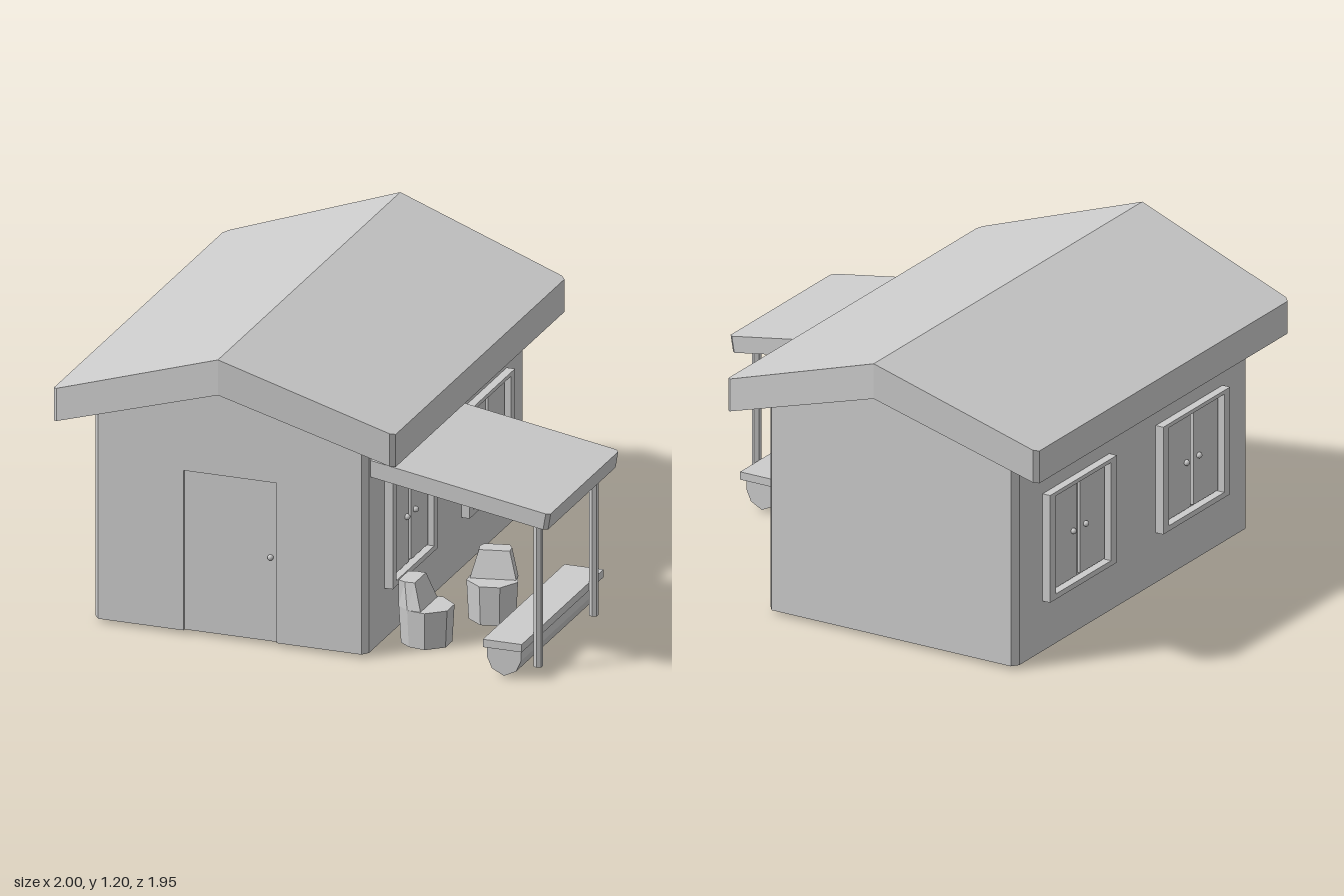
import * as THREE from 'three';

const material = new THREE.MeshStandardMaterial({ color: 0xcccccc, flatShading: true });
const thin = new THREE.MeshStandardMaterial({ color: 0xcccccc, flatShading: true, side: THREE.DoubleSide });
const smooth = new THREE.MeshStandardMaterial({ color: 0xcccccc });

function add(parent, name, geometry, x = 0, y = 0, z = 0, mat = material) {
  const mesh = new THREE.Mesh(geometry, mat);
  mesh.name = name;
  mesh.position.set(x, y, z);
  parent.add(mesh);
  return mesh;
}

// Solid through a row of matching rings, closed at both ends
function loft(rings) {
  const out = [];
  const tri = (...points) => points.forEach((p) => out.push(...p));
  for (let s = 0; s < rings.length - 1; s++) {
    const a = rings[s], b = rings[s + 1];
    a.forEach((p, i) => {
      const j = (i + 1) % a.length;
      tri(p, a[j], b[j]);
      tri(p, b[j], b[i]);
    });
  }
  const first = rings[0], last = rings[rings.length - 1];
  for (let i = 1; i < first.length - 1; i++) {
    tri(first[0], first[i + 1], first[i]);
    tri(last[0], last[i], last[i + 1]);
  }
  const geometry = new THREE.BufferGeometry();
  geometry.setAttribute('position', new THREE.Float32BufferAttribute(out, 3));
  geometry.computeVertexNormals();
  return geometry;
}

// Rectangular ring across the x axis
const slab = (x, low, high, half) => [[x, low, half], [x, low, -half], [x, high, -half], [x, high, half]];

// Mirrored plan (right half listed front to back) at a height
function planRing(half, y, scale = 1) {
  const points = half.map(([x, z]) => [x * scale, y, z * scale]);
  return [...points, ...points.slice().reverse().map(([x, h, z]) => [-x, h, z])];
}

function rectangle(Type, x0, y0, x1, y1) {
  const path = new Type();
  path.moveTo(x0, y0).lineTo(x1, y0).lineTo(x1, y1).lineTo(x0, y1).closePath();
  return path;
}

const MID = -0.3;                                  // ridge line
const underside = (d) => 1.055 - 0.319 * Math.abs(d); // roof underside at distance d from the ridge

function house() {
  const group = new THREE.Group();
  group.name = 'house';
  const W = 0.562, D = 0.847, cx = 0.021, cz = 0.028, base = 0.02;
  const g = W - cx;

  // Gable walls, the front one with a door opening
  for (const side of [1, -1]) {
    const shape = new THREE.Shape();
    shape.moveTo(-g, base);
    if (side > 0) shape.lineTo(-0.19, base).lineTo(-0.19, 0.676).lineTo(0.193, 0.676).lineTo(0.193, base);
    shape.lineTo(g, base).lineTo(g, underside(g)).lineTo(0, underside(0)).lineTo(-g, underside(g)).closePath();
    const wall = add(group, side > 0 ? 'frontWall' : 'backWall', new THREE.ShapeGeometry(shape), MID, 0, side * D, thin);
    if (side < 0) wall.rotation.y = Math.PI;
  }

  // Side walls and chamfered corners
  const height = underside(W) - base, midY = base + height / 2;
  for (const sx of [1, -1]) {
    const wall = add(group, 'sideWall', new THREE.PlaneGeometry(2 * (D - cz), height), MID + sx * W, midY, 0, thin);
    wall.rotation.y = sx * Math.PI / 2;
    for (const sz of [1, -1]) {
      const corner = add(group, 'cornerChamfer', new THREE.PlaneGeometry(Math.hypot(cx, cz), height),
        MID + sx * (W - cx / 2), midY, sz * (D - cz / 2), thin);
      corner.rotation.y = Math.atan2(sx * cz, sz * cx);
    }
  }

  // Recessed door and its knob
  add(group, 'door', new THREE.BoxGeometry(0.383, 0.656, 0.02), MID + 0.0015, 0.348, D - 0.022);
  for (const jamb of [-0.19, 0.193]) {
    add(group, 'doorJamb', new THREE.PlaneGeometry(0.03, 0.656).rotateY(Math.PI / 2), MID + jamb, 0.348, D - 0.015, thin);
  }
  add(group, 'doorLintel', new THREE.PlaneGeometry(0.383, 0.03).rotateX(Math.PI / 2), MID + 0.0015, 0.676, D - 0.015, thin);
  add(group, 'doorKnob', new THREE.SphereGeometry(0.012, 12, 8), -0.135, 0.365, D - 0.006, smooth);

  // Gable roof whose ridge overhangs further than its eaves
  const rings = [[-0.703, 0.9], [-0.685, 0.918], [0, 0.973], [0.685, 0.918], [0.703, 0.9]].map(([d, half]) =>
    slab(MID + d, underside(d), 1.2 - 0.335 * Math.abs(d), half));
  add(group, 'roof', loft(rings));
  return group;
}

// Casement window with two sashes, facing +x or -x
function casement(side, z, knobs) {
  const group = new THREE.Group();
  group.name = 'window';
  const frame = rectangle(THREE.Shape, -0.242, -0.222, 0.242, 0.222);
  frame.holes.push(rectangle(THREE.Path, -0.2, -0.2, 0.2, 0.206));
  const frameGeometry = new THREE.ExtrudeGeometry(frame, { depth: 0.068, bevelEnabled: false });
  add(group, 'windowFrame', frameGeometry, 0, 0, -0.034);
  for (const s of [1, -1]) {
    add(group, 'windowSash', new THREE.BoxGeometry(0.178, 0.39, 0.024), s * 0.1, 0.004, 0);
    if (!knobs) continue;
    for (const face of [1, -1]) {
      add(group, 'windowKnob', new THREE.SphereGeometry(0.012, 12, 8), s * 0.045, 0.004, face * 0.018, smooth);
    }
  }
  group.position.set(MID + side * 0.562, 0.449, z);
  group.rotation.y = side * Math.PI / 2;
  return group;
}

function awning() {
  const group = new THREE.Group();
  group.name = 'awning';
  const rings = [[-0.015, 0.375], [0.72, 0.375], [0.735, 0.36]].map(([x, half]) => slab(x, 0, 0.067, half));
  const cover = add(group, 'awningRoof', loft(rings), 0.262, 0.737, 0.43);
  cover.rotation.z = -0.167;
  for (const z of [0.732, 0.14]) {
    add(group, 'awningPost', new THREE.CylinderGeometry(0.018, 0.018, 0.61, 6), 0.924, 0.33, z);
  }
  return group;
}

// Plank on a half-rounded log
function bench() {
  const group = new THREE.Group();
  group.name = 'bench';
  add(group, 'benchSeat', new THREE.BoxGeometry(0.16, 0.032, 0.872), 0.828, 0.143, 0.43);
  const log = new THREE.Shape();
  log.moveTo(0.07, 0.13).lineTo(-0.07, 0.13).lineTo(-0.07, 0.08).lineTo(-0.05, 0.035)
    .lineTo(0, 0.01).lineTo(0.05, 0.035).lineTo(0.07, 0.08).closePath();
  add(group, 'benchLog', new THREE.ExtrudeGeometry(log, { depth: 0.82, bevelEnabled: false }), 0.825, 0, 0.02);
  return group;
}

// Seat carved from a stump, with a wedge backrest
function stumpChair(x, z, turn, seat) {
  const group = new THREE.Group();
  group.name = 'stumpChair';
  const plan = [[0.04, 0.095], [0.1, 0.025], [0.09, -0.05], [0.05, -0.1]];
  const backBase = [[0.09, 0.005], [0.09, -0.05], [0.05, -0.1]];
  const backTop = [[0.06, -0.03], [0.063, -0.07], [0.05, -0.1]];
  add(group, 'stump', loft([planRing(plan, 0.005, 0.92), planRing(plan, seat)]));
  add(group, 'backrest', loft([planRing(backBase, seat), planRing(backTop, seat + 0.105)]));
  group.position.set(x, 0, z);
  group.rotation.y = turn;
  return group;
}

export function createModel() {
  const model = new THREE.Group();
  model.name = 'cabin';
  model.add(house(), awning(), bench());
  for (const side of [1, -1]) {
    for (const z of [0.412, -0.408]) model.add(casement(side, z, side < 0 || z > 0));
  }
  model.add(stumpChair(0.413, 0.585, Math.PI / 2, 0.157));
  model.add(stumpChair(0.555, 0.255, 0.22, 0.165));
  return model;
}
